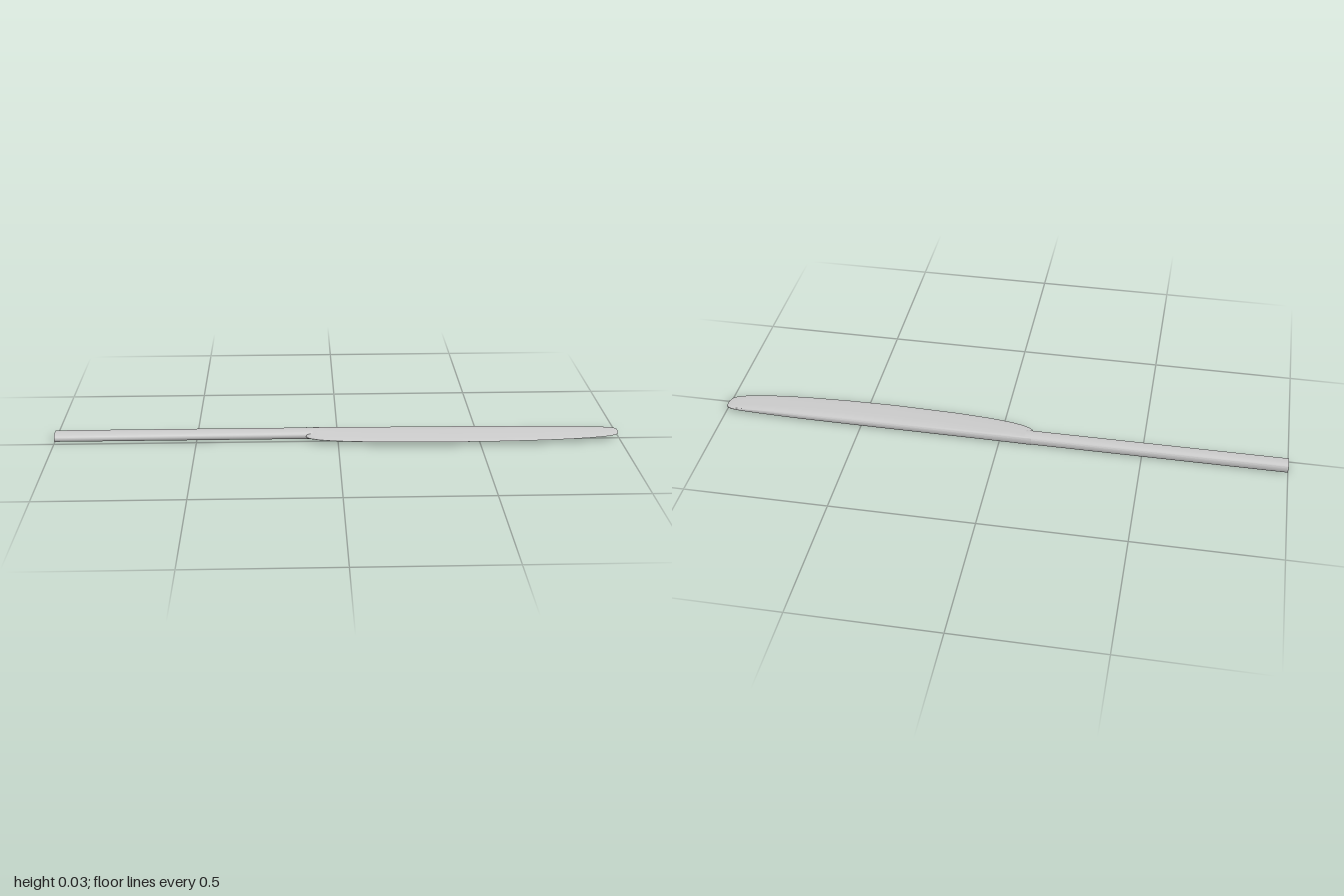
import * as THREE from 'three';
import { toCreasedNormals } from 'three/addons/utils/BufferGeometryUtils.js';

const MID_Y = 0.0155;

// Closed skin through scaled copies of a half profile.
// half: [u, h] from back (u = 0) to front (u = 1); stations: [x, zBack, zFront, halfThickness]
function loft(half, stations) {
  const ring = [...half, ...half.slice(1, -1).reverse().map(([u, h]) => [u, -h])];
  const n = ring.length;
  const last = (stations.length - 1) * n;
  const pos = [];
  const index = [];
  for (const [x, back, front, t] of stations) {
    for (const [u, h] of ring) pos.push(x, MID_Y + h * t, back + u * (front - back));
  }
  for (let s = 0; s < last; s += n) {
    for (let i = 0; i < n; i++) {
      const a = s + i, b = s + (i + 1) % n;
      index.push(a, b, a + n, b, b + n, a + n);
    }
  }
  // end caps
  for (const [x, back, front] of [stations[0], stations[stations.length - 1]]) {
    pos.push(x, MID_Y, (back + front) / 2);
  }
  for (let i = 0; i < n; i++) {
    const j = (i + 1) % n;
    index.push(last + n, j, i, last + n + 1, last + i, last + j);
  }
  const geo = new THREE.BufferGeometry();
  geo.setAttribute('position', new THREE.Float32BufferAttribute(pos, 3));
  geo.setIndex(index);
  return toCreasedNormals(geo, 0.7);
}

export function createModel() {
  const group = new THREE.Group();
  const material = new THREE.MeshStandardMaterial({ color: 0xcccccc });
  const add = (name, geo) => {
    const mesh = new THREE.Mesh(geo, material);
    mesh.name = name;
    group.add(mesh);
  };

  // straight handle with rounded edges
  const handleHalf = [
    [0, 0], [0.01, 0.5], [0.04, 0.78], [0.1, 0.95], [0.2, 1], [0.5, 0.96],
    [0.75, 0.88], [0.88, 0.72], [0.96, 0.45], [1, 0],
  ];
  add('handle', loft(handleHalf, [
    [-1, -0.065, -0.007, 0.0155], [-0.09, -0.065, -0.007, 0.0155],
  ]));

  // wedge-shaped blade: thick spine at the back, thin cutting edge at the front
  const bladeHalf = [
    [0, 0], [0.005, 0.5], [0.02, 0.8], [0.05, 0.95], [0.1, 1], [0.3, 0.89],
    [0.5, 0.75], [0.7, 0.56], [0.85, 0.37], [0.95, 0.19], [1, 0],
  ];
  add('blade', loft(bladeHalf, [
    [-0.113, -0.065, -0.007, 0.0155],
    [-0.108, -0.065, 0.005, 0.0155],
    [-0.095, -0.065, 0.015, 0.0155],
    [-0.07, -0.065, 0.026, 0.0155],
    [-0.03, -0.065, 0.036, 0.0155],
    [0.05, -0.065, 0.047, 0.015],
    [0.18, -0.065, 0.056, 0.0147],
    [0.4, -0.065, 0.062, 0.014],
    [0.58, -0.065, 0.06, 0.013],
    [0.72, -0.065, 0.054, 0.0117],
    [0.82, -0.064, 0.046, 0.01],
    [0.9, -0.063, 0.035, 0.0075],
    [0.95, -0.062, 0.024, 0.0055],
    [0.98, -0.059, 0.013, 0.004],
    [0.993, -0.055, 0.003, 0.003],
    [1, -0.046, -0.015, 0.0015],
  ]));

  return group;
}
